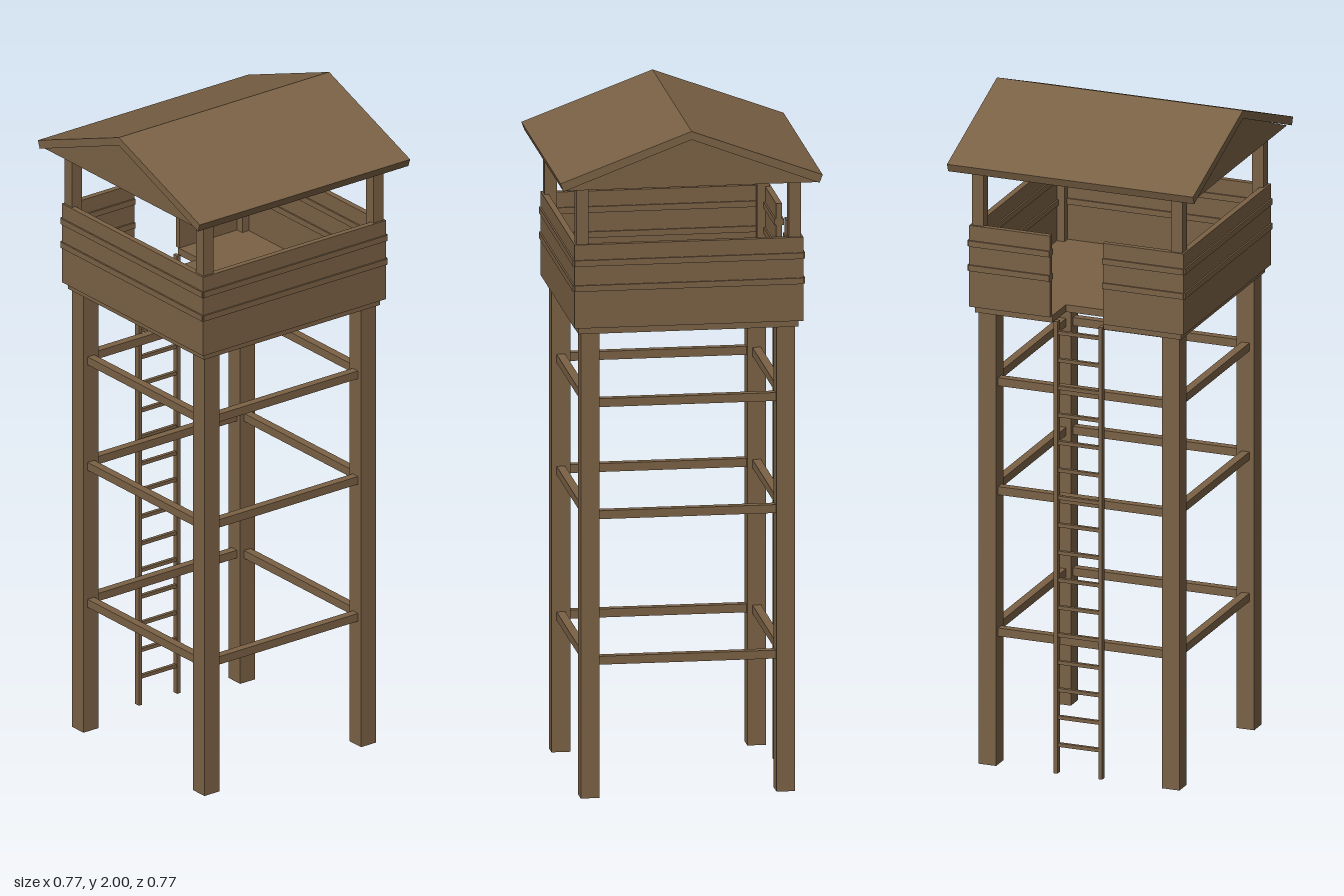
import * as THREE from 'three';

export function createModel() {
  const tower = new THREE.Group();
  tower.name = 'watchtower';
  const wood = new THREE.MeshStandardMaterial({ color: 0x7a6145 });
  wood.name = 'brown wood';

  const add = (name, geometry, parent = tower) => {
    const mesh = new THREE.Mesh(geometry, wood);
    mesh.name = name;
    parent.add(mesh);
    return mesh;
  };
  // Box given by its lower and upper limits
  const box = (name, x0, x1, y0, y1, z0, z1, parent) =>
    add(name, new THREE.BoxGeometry(x1 - x0, y1 - y0, z1 - z0), parent)
      .position.set((x0 + x1) / 2, (y0 + y1) / 2, (z0 + z1) / 2);
  const shapeOf = (points) => new THREE.Shape(points.map(([x, y]) => new THREE.Vector2(x, y)));
  const extrude = (points, depth) =>
    new THREE.ExtrudeGeometry(shapeOf(points), { depth, bevelEnabled: false });

  // Four legs and the slimmer posts that carry the roof
  for (const sx of [-1, 1]) for (const sz of [-1, 1]) {
    add('leg', new THREE.BoxGeometry(0.055, 1.39, 0.055)).position.set(sx * 0.2875, 0.695, sz * 0.2875);
    add('roofPost', new THREE.BoxGeometry(0.036, 0.44, 0.036)).position.set(sx * 0.312, 1.63, sz * 0.312);
  }

  // Three rings of cross braces
  for (const y of [0.407, 0.842, 1.177]) for (const s of [-1, 1]) {
    add('braceAlongX', new THREE.BoxGeometry(0.53, 0.025, 0.025)).position.set(0, y, s * 0.2875);
    add('braceAlongZ', new THREE.BoxGeometry(0.025, 0.025, 0.53)).position.set(s * 0.2875, y, 0);
  }

  // Floor with a notch at the back for the ladder
  const f = 0.323, notch = 0.08;
  const floor = extrude([
    [-f, -f], [f, -f], [f, f], [notch, f], [notch, 0.22], [-notch, 0.22], [-notch, f], [-f, f],
  ], 0.022);
  floor.rotateX(-Math.PI / 2);
  add('floor', floor).position.y = 1.39;

  // Parapet panels, each with two thin battens showing on both faces
  const panel = (name, x0, x1, z0, z1, alongX) => {
    const group = new THREE.Group();
    group.name = name;
    tower.add(group);
    box('boards', x0, x1, 1.41, 1.66, z0, z1, group);
    const p = 0.005, ex = alongX ? 0 : p, ez = alongX ? p : 0;
    for (const y of [1.53, 1.605])
      box('batten', x0 - ex, x1 + ex, y - 0.009, y + 0.009, z0 - ez, z1 + ez, group);
  };
  const w = 0.336, t = 0.318;
  panel('frontParapet', -w, w, t, w, true);
  panel('rightParapet', -w, -t, -w, w, false);
  panel('leftParapet', t, w, -w, w, false);
  panel('backParapetRight', -w, -0.083, -w, -t, true);
  panel('backParapetLeft', 0.083, w, -w, -t, true);

  // Ladder at the back
  const ladder = new THREE.Group();
  ladder.name = 'ladder';
  tower.add(ladder);
  for (const s of [-1, 1])
    add('ladderRail', new THREE.BoxGeometry(0.012, 1.39, 0.018), ladder).position.set(s * 0.07, 0.7, -0.315);
  for (let i = 0; i < 16; i++)
    add('rung', new THREE.BoxGeometry(0.135, 0.011, 0.011), ladder).position.set(0, 0.092 + i * 0.0845, -0.315);

  // Pitched roof: a hollow chevron closed by a gable at each end
  const roof = extrude([
    [0, 2], [-0.385, 1.857], [-0.376, 1.833], [0, 1.975], [0.376, 1.833], [0.385, 1.857],
  ], 0.772);
  roof.rotateY(Math.PI / 2);
  add('roof', roof).position.x = -0.386;
  for (const x of [-0.372, 0.352]) {
    const gable = extrude([[0, 1.978], [-0.372, 1.832], [0.372, 1.832]], 0.02);
    gable.rotateY(Math.PI / 2);
    add('gable', gable).position.x = x;
  }
  return tower;
}
